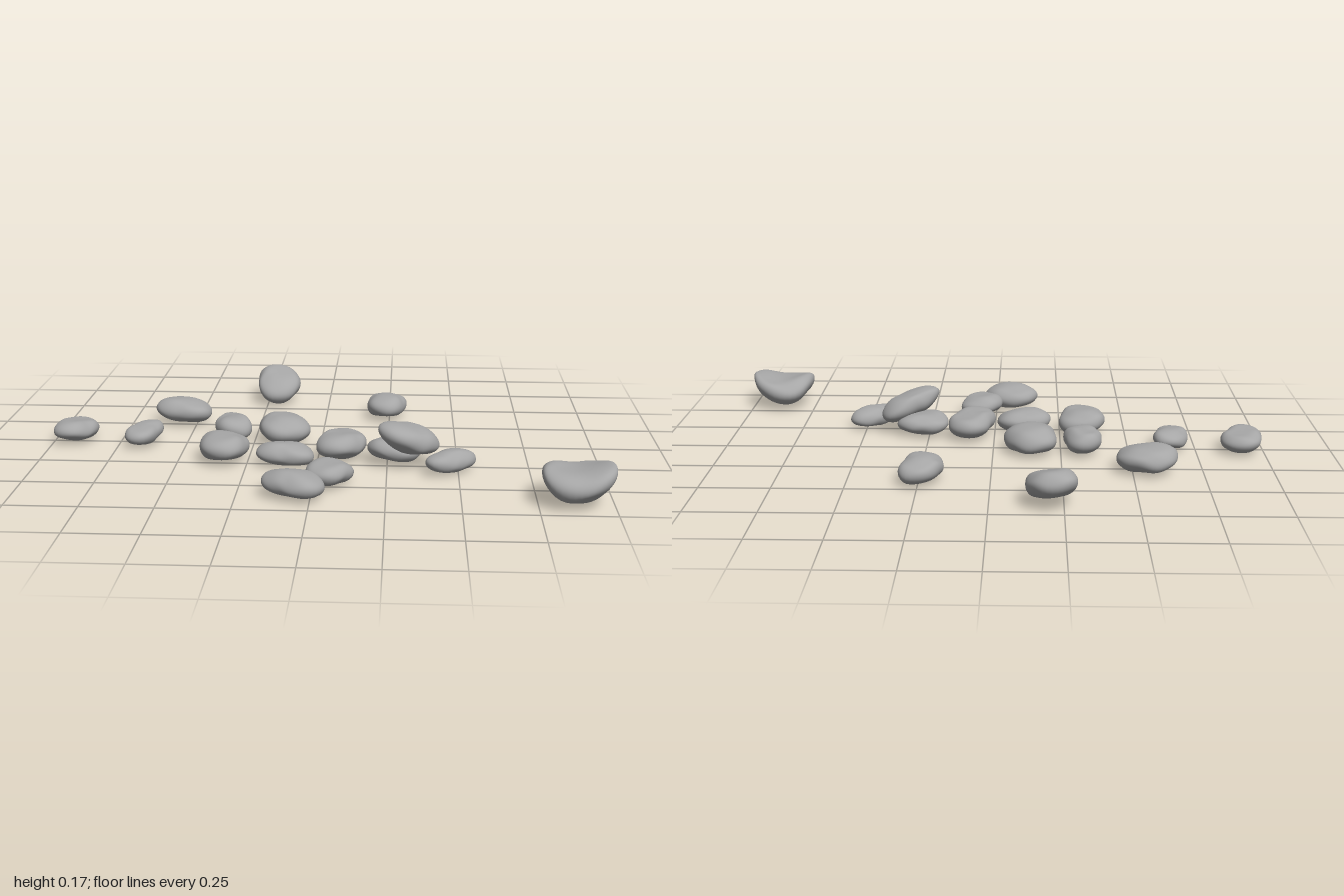
import * as THREE from 'three';
import { mergeVertices } from 'three/addons/utils/BufferGeometryUtils.js';

const stoneGrey = new THREE.MeshStandardMaterial({ color: 0xa6a6a6 });
stoneGrey.name = 'stone grey';

// A flattened ball on a squarish oval plan, with gentle lumps.
// turn: degrees of the long axis from +x towards +z; tilt: rise along x and z; bend: upward curl of the sides
function stoneGeometry(seed, length, width, turn, top, { bottom = 0.005, tilt = [-0.05, 0.03], bend = 0 } = {}) {
  const geo = new THREE.SphereGeometry(1, 40, 24);
  geo.deleteAttribute('uv');
  geo.deleteAttribute('normal');
  const pos = geo.attributes.position;
  const d = new THREE.Vector3();
  const power = 2.35;
  for (let i = 0; i < pos.count; i++) {
    d.fromBufferAttribute(pos, i);
    const angle = Math.atan2(d.z, d.x);
    const local = angle - THREE.MathUtils.degToRad(turn);
    const oval = Math.pow(
      Math.pow(Math.abs(Math.cos(local)) / length, power) + Math.pow(Math.abs(Math.sin(local)) / width, power),
      -1 / power);
    const egg = 1 + 0.035 * Math.sin(3 * angle + 2 * seed);
    const reach = oval * egg * Math.pow(Math.hypot(d.x, d.z), 0.72);
    const x = reach * Math.cos(angle), z = reach * Math.sin(angle);
    const lump = Math.sin(2.7 * d.x + 2 * seed) * Math.cos(3.1 * d.z + seed)
      + 0.5 * Math.sin(5.3 * d.z - 3 * seed + 2 * d.y) * Math.sin(4.7 * d.x + seed);
    const u = x / length, v = z / length;
    pos.setXYZ(i, x, 0.5 * d.y + 0.055 * lump + tilt[0] * u + tilt[1] * v + bend * u * u, z);
  }
  // Rest the stone between its bottom and top heights
  geo.computeBoundingBox();
  const { min, max } = geo.boundingBox;
  for (let i = 0; i < pos.count; i++) {
    pos.setY(i, THREE.MathUtils.mapLinear(pos.getY(i), min.y, max.y, bottom, top));
  }
  const smooth = mergeVertices(geo, 1e-5);
  smooth.computeVertexNormals();
  return smooth;
}

export function createModel() {
  const group = new THREE.Group();
  group.name = 'scatteredStones';

  // Places one stone by its centre, half length, half width, turn and top height
  function addStone(name, x, z, length, width, turn, top, shape) {
    const seed = group.children.length + 1;
    const mesh = new THREE.Mesh(stoneGeometry(seed, length, width, turn, top, shape), stoneGrey);
    mesh.name = name;
    mesh.position.set(x, 0, z);
    group.add(mesh);
  }

  // Back stones
  addStone('backStone', -0.21, -0.64, 0.113, 0.086, 88, 0.135, { tilt: [-0.08, -0.25], bend: 0.15 });
  addStone('backLeftStone', 0.24, -0.405, 0.1, 0.073, 105, 0.095);
  addStone('backRightStone', -0.55, -0.28, 0.108, 0.086, 12, 0.1);

  // Right-hand stones
  addStone('farRightStone', -0.92, -0.01, 0.1, 0.074, 105, 0.085);
  addStone('rightStone', -0.66, 0.02, 0.098, 0.061, 105, 0.08, { tilt: [0.1, 0] });

  // Middle cluster
  addStone('smallMiddleStone', -0.33, -0.05, 0.09, 0.068, 80, 0.095);
  addStone('roundMiddleStone', -0.14, -0.04, 0.11, 0.094, 75, 0.105);
  addStone('squareStone', -0.335, 0.21, 0.104, 0.087, 95, 0.1);
  addStone('lowStone', -0.11, 0.25, 0.103, 0.07, 0, 0.085, { bottom: 0 });
  addStone('centreStone', 0.085, 0.16, 0.12, 0.081, 108, 0.1);
  addStone('supportStone', 0.275, 0.185, 0.097, 0.082, 10, 0.085);
  addStone('leaningStone', 0.33, 0.245, 0.118, 0.078, 142, 0.165, { bottom: 0.04, tilt: [-0.38, 0.05] });
  addStone('narrowStone', 0.475, 0.3, 0.105, 0.055, 138, 0.08);

  // Front stones
  addStone('smallFrontStone', 0.055, 0.47, 0.09, 0.076, 115, 0.085);
  addStone('frontStone', -0.055, 0.605, 0.11, 0.083, 30, 0.095);
  addStone('saddleStone', 0.88, 0.61, 0.131, 0.121, 90, 0.135, { bottom: 0.01, tilt: [0.08, 0], bend: 0.45 });
  return group;
}
